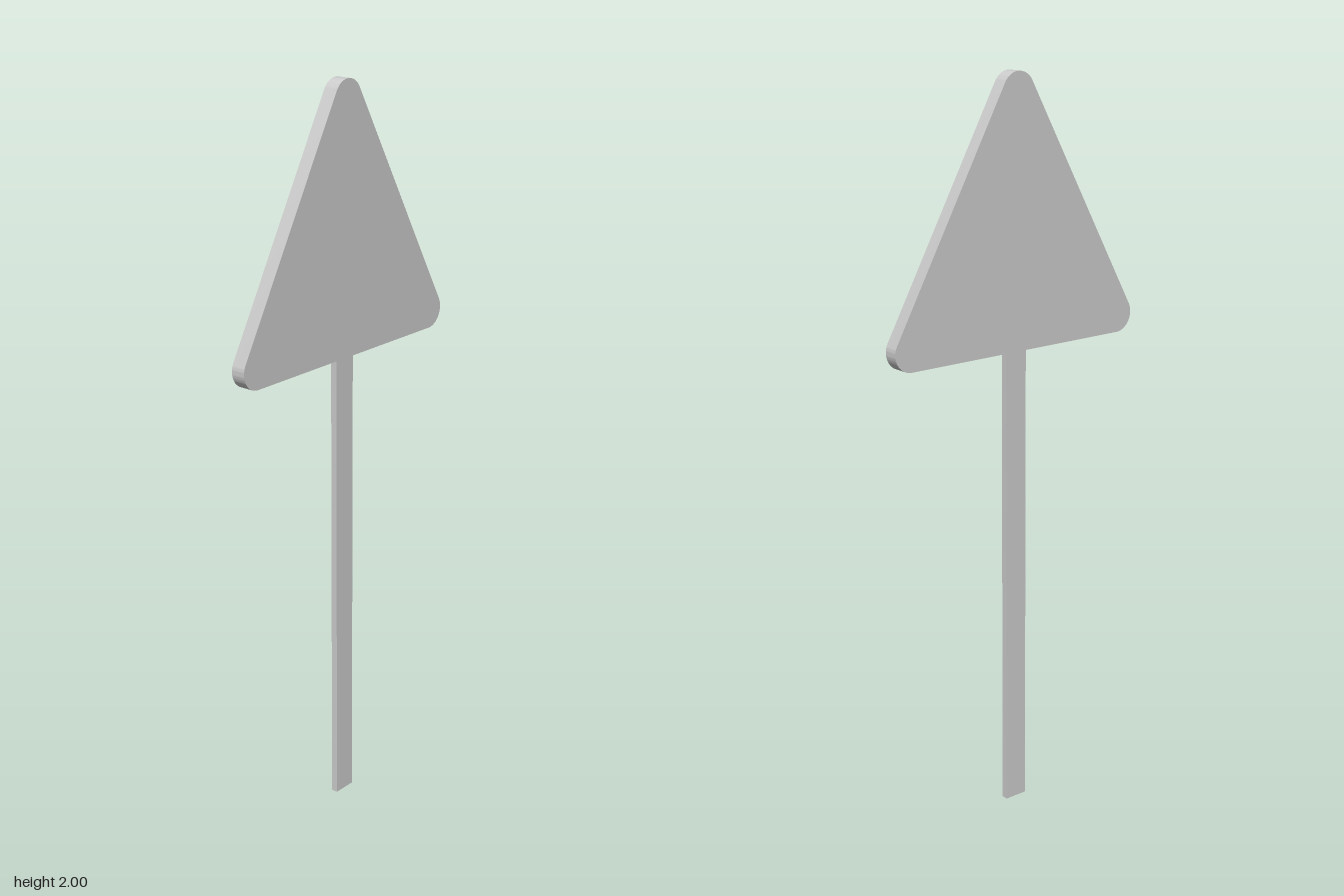
import * as THREE from 'three';
import { toCreasedNormals } from 'three/addons/utils/BufferGeometryUtils.js';

export function createModel() {
  const group = new THREE.Group();
  const material = new THREE.MeshStandardMaterial({ color: 0xcccccc });
  const add = (name, geometry) => {
    const mesh = new THREE.Mesh(geometry, material);
    mesh.name = name;
    group.add(mesh);
    return mesh;
  };

  // Triangular sign panel: three corner arcs joined by straight edges
  const radius = 0.05, thickness = 0.04;
  const halfBase = 0.342, baseY = 1.335, topY = 1.95;
  const tilt = Math.atan2(halfBase, topY - baseY); // angle of the side normals
  const outline = new THREE.Shape();
  outline.absarc(halfBase, baseY, radius, -Math.PI / 2, tilt, false);
  outline.absarc(0, topY, radius, tilt, Math.PI - tilt, false);
  outline.absarc(-halfBase, baseY, radius, Math.PI - tilt, Math.PI * 1.5, false);
  outline.closePath();
  const panel = new THREE.ExtrudeGeometry(outline, {
    depth: thickness, bevelEnabled: false, curveSegments: 12,
  });
  panel.translate(0, 0, -thickness / 2).rotateY(Math.PI / 2);
  add('signPanel', toCreasedNormals(panel, 0.6));

  // Flat post, its top end set into the panel
  const postHeight = 1.32;
  add('post', new THREE.BoxGeometry(0.018, postHeight, 0.066)).position.y = postHeight / 2;

  return group;
}
